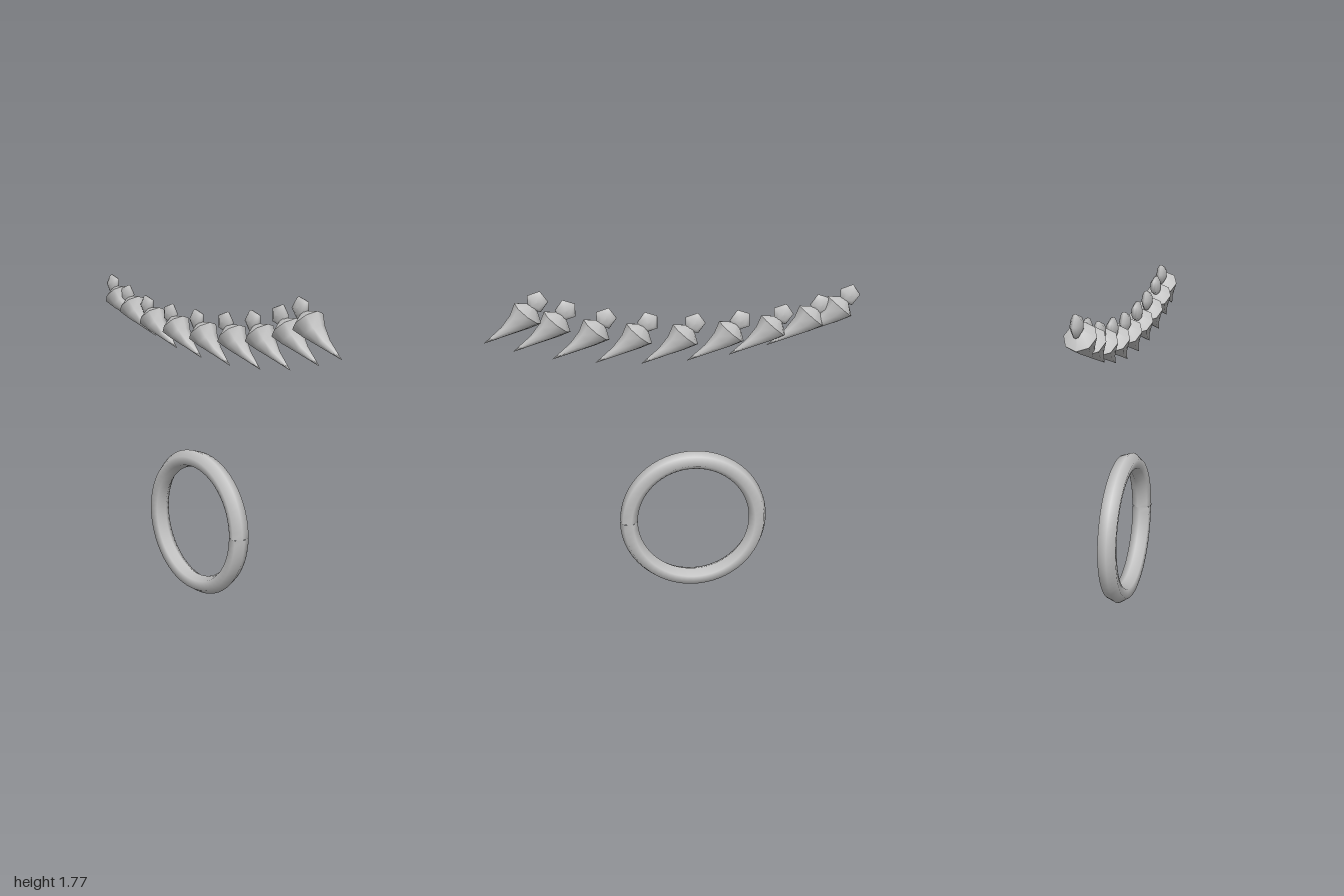
import * as THREE from 'three';
import { toCreasedNormals } from 'three/addons/utils/BufferGeometryUtils.js';

// Skin a row of elliptical sections: centre c, half axis u (in xy), half depth hz, phase
function loft(sections, sides) {
  const pos = [], idx = [];
  sections.forEach(({ c, u, hz, phase = 0 }, i) => {
    for (let j = 0; j < sides; j++) {
      const a = (j / sides) * Math.PI * 2 + phase;
      pos.push(c[0] + u[0] * Math.cos(a), c[1] + u[1] * Math.cos(a), hz * Math.sin(a));
      if (i === sections.length - 1) continue;
      const k = (j + 1) % sides, p = i * sides, q = p + sides;
      idx.push(p + j, p + k, q + k, p + j, q + k, q + j);
    }
  });
  const g = new THREE.BufferGeometry();
  g.setAttribute('position', new THREE.Float32BufferAttribute(pos, 3));
  g.setIndex(idx);
  g.computeVertexNormals();
  return g;
}

// Claw with its tip at the origin; each section runs from the inner edge to the outer edge
function clawGeometry() {
  const section = (x0, y0, x1, y1, hz) => ({
    c: [(x0 + x1) / 2, (y0 + y1) / 2], u: [(x1 - x0) / 2, (y1 - y0) / 2], hz,
  });
  return toCreasedNormals(loft([
    section(-0.276, 0.205, -0.275, 0.206, 0.001),
    section(-0.305, 0.102, -0.171, 0.214, 0.08),
    section(-0.236, 0.075, -0.145, 0.15, 0.057),
    section(-0.15, 0.048, -0.096, 0.086, 0.032),
    section(-0.001, 0, 0, 0.001, 0.001),
  ], 8), 1.0);
}

// Hoop with six-sided tube that twists slightly, leaving a small step at the seam
function hoopGeometry() {
  const R = 0.369, tube = 0.051, n = 64, sections = [];
  for (let i = 0; i <= n; i++) {
    const t = i / n, a = -t * Math.PI * 2;
    const dx = Math.cos(a), dy = Math.sin(a);
    sections.push({ c: [R * dx, R * dy], u: [tube * dx, tube * dy], hz: 0.056, phase: 0.04 + 0.22 * t });
  }
  return loft(sections, 6);
}

// Flat five-sided bead, one corner pointing up
function beadGeometry() {
  const profile = [[0, -0.027], [0.03, -0.025], [0.054, -0.012], [0.059, 0], [0.054, 0.012], [0.03, 0.025], [0, 0.027]];
  const g = new THREE.LatheGeometry(profile.map(([r, y]) => new THREE.Vector2(r, y)), 5);
  return g.rotateX(Math.PI / 2).rotateZ(Math.PI / 2);
}

export function createModel() {
  const model = new THREE.Group();
  model.name = 'clawNecklace';
  const grey = new THREE.MeshStandardMaterial({ color: 0xc4c4c4 });
  grey.name = 'pale grey';

  const hoop = new THREE.Mesh(hoopGeometry(), grey);
  hoop.name = 'hoop';
  hoop.position.set(-0.117, 0.424, 0);
  model.add(hoop);

  // Nine claws hang along a shallow arc, each with a bead above it
  const claw = clawGeometry(), bead = beadGeometry();
  const spread = [0, 0.246, 0.471, 0.675, 0.825];
  const height = [1.365, 1.376, 1.403, 1.451, 1.5];
  for (let i = -4; i <= 4; i++) {
    const k = Math.abs(i);
    const pendant = new THREE.Group();
    pendant.name = 'pendant';
    pendant.position.set(0.171 + Math.sign(i) * spread[k], height[k], 0);
    const clawMesh = new THREE.Mesh(claw, grey);
    clawMesh.name = 'claw';
    const beadMesh = new THREE.Mesh(bead, grey);
    beadMesh.name = 'bead';
    beadMesh.position.set(-0.286, 0.218, 0);
    beadMesh.rotation.z = k % 2 ? 0 : Math.PI; // alternate corner up, corner down
    pendant.add(clawMesh, beadMesh);
    model.add(pendant);
  }
  return model;
}
